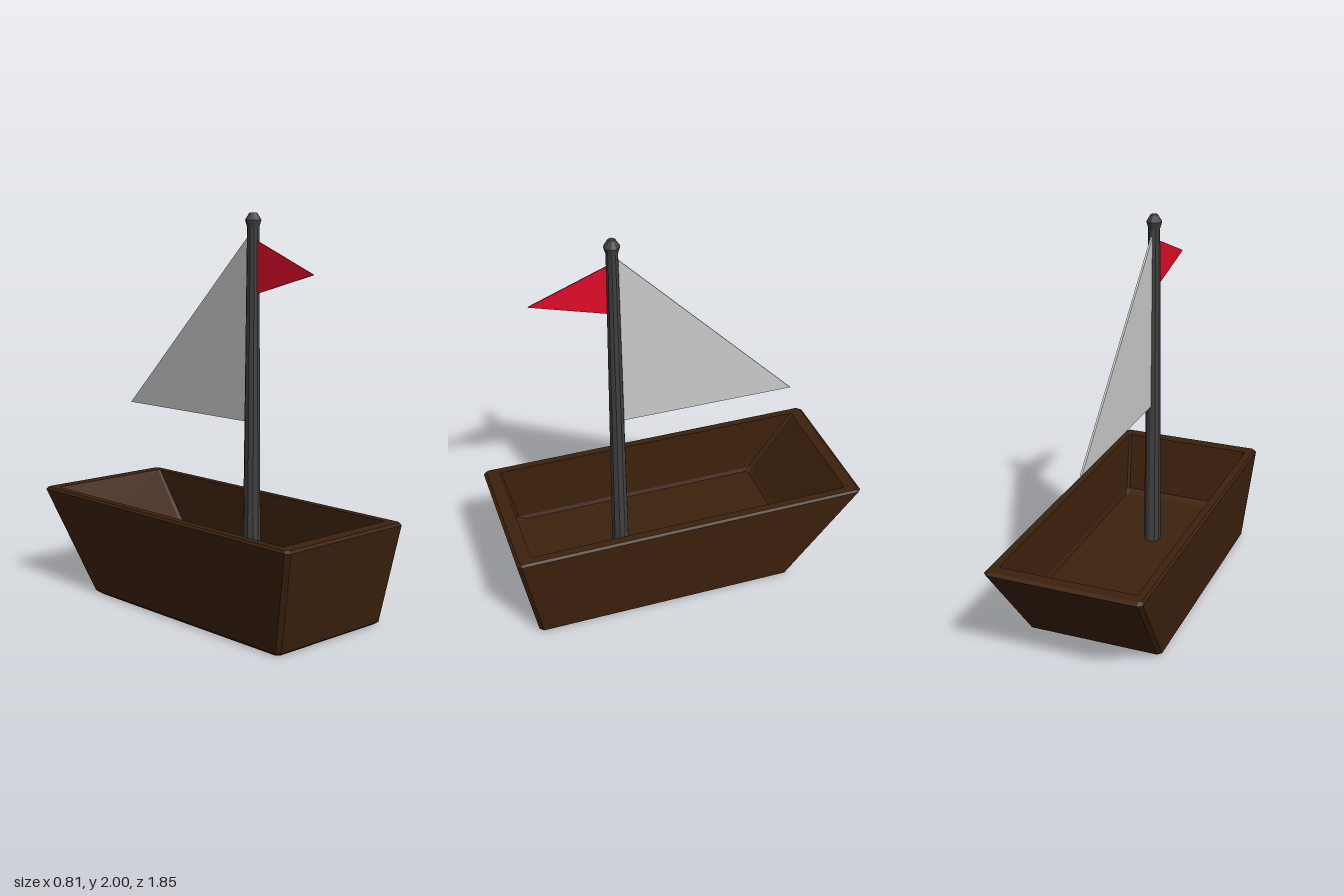
import * as THREE from 'three';

const material = (color, side = THREE.FrontSide) =>
  new THREE.MeshStandardMaterial({ color, side, flatShading: true });

function addMesh(group, name, geometry, mat) {
  const mesh = new THREE.Mesh(geometry, mat);
  mesh.name = name;
  group.add(mesh);
  return mesh;
}

// Rectangle with cut corners at height y: half width w, front zf, back zb
function ring([y, w, zf, zb, c]) {
  return [
    [w, zf - c], [w, zb + c], [w - c, zb], [-w + c, zb],
    [-w, zb + c], [-w, zf - c], [-w + c, zf], [w - c, zf],
  ].map(([x, z]) => [x, y, z]);
}

// Skins a stack of rings and closes the first and last
function loft(sections) {
  const rings = sections.map(ring);
  const n = rings[0].length;
  const pos = [];
  const tri = (...points) => points.forEach((p) => pos.push(...p));
  for (let r = 0; r < rings.length - 1; r++) {
    for (let i = 0; i < n; i++) {
      const j = (i + 1) % n;
      const [lo, hi] = [rings[r], rings[r + 1]];
      tri(lo[i], lo[j], hi[j]);
      tri(lo[i], hi[j], hi[i]);
    }
  }
  const first = rings[0];
  const last = rings[rings.length - 1];
  for (let i = 1; i < n - 1; i++) {
    tri(first[0], first[i + 1], first[i]);
    tri(last[0], last[i], last[i + 1]);
  }
  const geometry = new THREE.BufferGeometry();
  geometry.setAttribute('position', new THREE.Float32BufferAttribute(pos, 3));
  geometry.computeVertexNormals();
  return geometry;
}

// Thin cloth triangle in the z-y plane
function cloth(points, thickness) {
  const shape = new THREE.Shape(points.map(([z, y]) => new THREE.Vector2(-z, y)));
  const geometry = new THREE.ExtrudeGeometry(shape, { depth: thickness, bevelEnabled: false });
  geometry.translate(0, 0, -thickness / 2);
  geometry.rotateY(Math.PI / 2);
  return geometry;
}

export function createModel() {
  const boat = new THREE.Group();
  boat.name = 'sailboat';
  const mastZ = 0.285;

  // Hull: up the outside, over the rim and down to the inner floor
  addMesh(boat, 'hull', loft([
    [0, 0.345, 0.81, -0.50, 0.015],
    [0.015, 0.36, 0.83, -0.55, 0.02],
    [0.51, 0.403, 0.925, -0.927, 0.02],
    [0.522, 0.393, 0.91, -0.91, 0.015],
    [0.522, 0.354, 0.845, -0.85, 0.01],
    [0.205, 0.343, 0.782, -0.607, 0.015],
    [0.185, 0.335, 0.742, -0.585, 0.015],
  ]), material(0x3d210d));

  // Mast with a faceted knob on top
  const dark = material(0x404040);
  const mast = addMesh(boat, 'mast', new THREE.CylinderGeometry(0.03, 0.046, 1.77, 10), dark);
  mast.position.set(0, 0.17 + 1.77 / 2, mastZ);
  const knobProfile = [[0, 1.925], [0.03, 1.93], [0.04, 1.965], [0.018, 2], [0, 2]]
    .map(([r, y]) => new THREE.Vector2(r, y));
  const knob = addMesh(boat, 'mastKnob', new THREE.LatheGeometry(knobProfile, 10), dark);
  knob.position.z = mastZ;

  // Sail behind the mast
  const sail = addMesh(boat, 'sail', cloth([[0.265, 1.9], [0.265, 0.978], [-0.66, 0.978]], 0.01),
    material(0xcccccc, THREE.DoubleSide));
  sail.position.x = 0.003;

  // Pennant in front of the mast, turned slightly aside
  const flag = addMesh(boat, 'pennant', cloth([[0, 1.875], [0.405, 1.715], [0, 1.605]], 0.006),
    material(0xe00c28, THREE.DoubleSide));
  flag.position.z = mastZ + 0.005;
  flag.rotation.y = -0.02;

  return boat;
}
